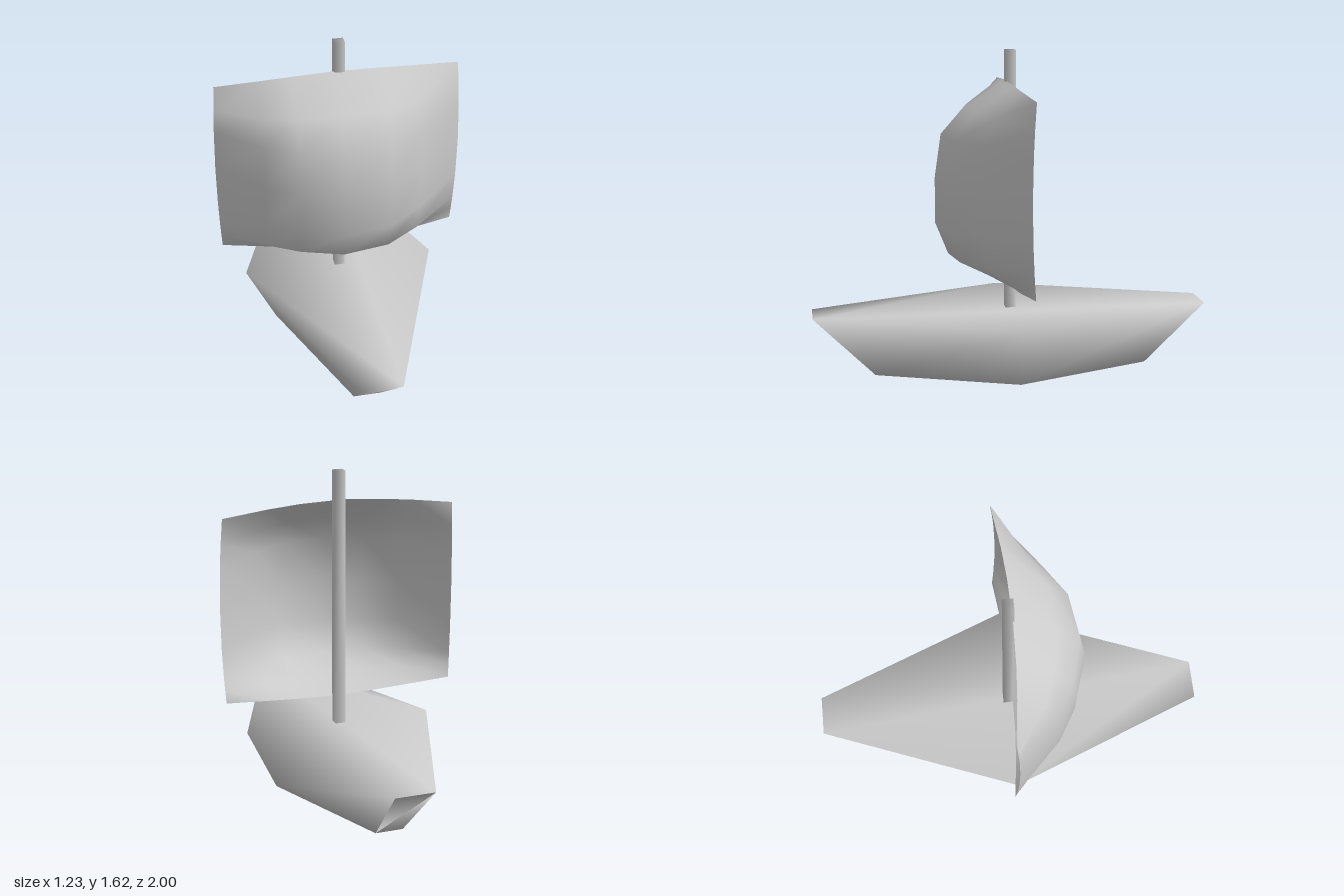
import * as THREE from 'three';

const material = new THREE.MeshStandardMaterial({ color: 0xcccccc, side: THREE.DoubleSide });

// Closed solid between a bottom and a top outline ([x, z], counterclockwise from above), smooth shaded
function solid(name, outline, y0, y1, bottomScale = 1) {
  const n = outline.length;
  const positions = [];
  const index = [];
  for (const [y, s] of [[y0, bottomScale], [y1, 1]]) {
    for (const [x, z] of outline) positions.push(x * s, y, z * s);
  }
  for (let i = 0; i < n; i++) {
    const j = (i + 1) % n;
    index.push(i, j, n + j, i, n + j, n + i);
  }
  for (let i = 1; i < n - 1; i++) {
    index.push(n, n + i, n + i + 1, 0, i + 1, i);
  }
  const geometry = new THREE.BufferGeometry();
  geometry.setAttribute('position', new THREE.Float32BufferAttribute(positions, 3));
  geometry.setIndex(index);
  geometry.computeVertexNormals();
  const mesh = new THREE.Mesh(geometry, material);
  mesh.name = name;
  return mesh;
}

// Billowing square sail: a plane bent by one bulge curve across and one down
function makeSail() {
  const across = [[-1, 0], [-0.66, 0.59], [-0.4, 0.83], [-0.06, 1], [0.32, 0.91], [0.6, 0.59], [1, 0]];
  const down = [[1.465, 0], [1.33, 0.59], [1.2, 0.91], [0.98, 1], [0.75, 1], [0.59, 0.82], [0.515, 0.37], [0.445, 0]];
  const cols = across.length;
  const geometry = new THREE.PlaneGeometry(1, 1, cols - 1, down.length - 1);
  const p = geometry.attributes.position;
  for (let k = 0; k < p.count; k++) {
    const [u, f] = across[k % cols];
    const [y, g] = down[Math.floor(k / cols)];
    const v = (y - 0.955) / 0.51;
    const mid = 1 - v * v;
    // Sides bow outwards, top and bottom edges arch towards the middle
    const x = u * (0.6 + 0.016 * mid);
    const drop = 0.045 * v * Math.pow(Math.abs(u), 1.5);
    const edge = -0.025 + 0.045 * (1 - u * u) + 0.02 * mid * u * u;
    p.setXYZ(k, x, y - drop, edge + 0.355 * f * g);
  }
  geometry.computeVertexNormals();
  const mesh = new THREE.Mesh(geometry, material);
  mesh.name = 'sail';
  return mesh;
}

export function createModel() {
  const group = new THREE.Group();
  group.name = 'sailboat';

  // Hull: six-sided outline, pointed to both ends, tapering to a flat bottom
  const hull = [[0.1, 1], [0.49, 0], [0.1, -1], [-0.1, -1], [-0.49, 0], [-0.1, 1]];
  group.add(solid('hull', hull, 0, 0.31, 0.695));

  // Mast: slim square post on the deck
  const m = 0.026;
  group.add(solid('mast', [[m, m], [m, -m], [-m, -m], [-m, m]], 0.31, 1.615));

  group.add(makeSail());
  return group;
}
